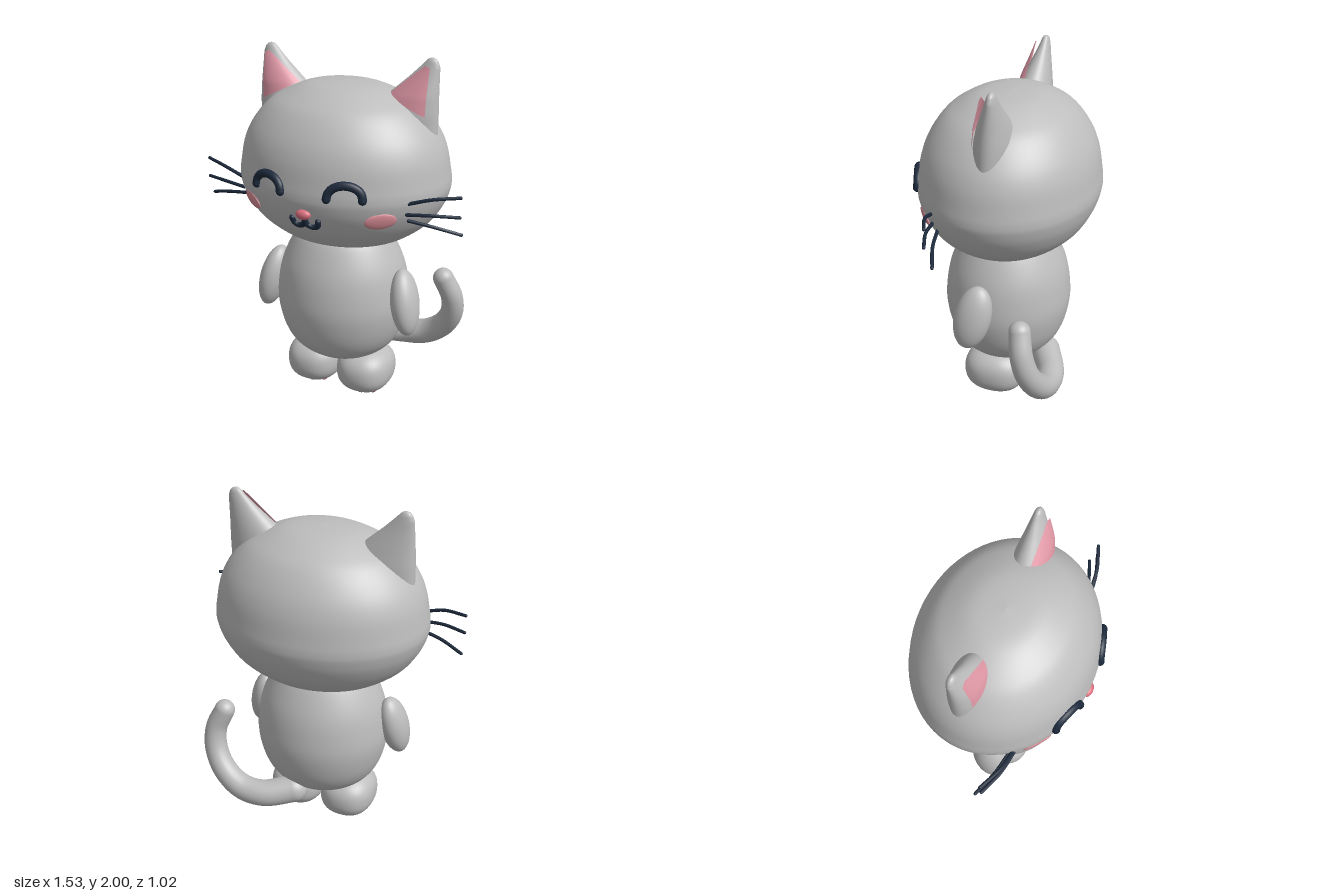
import * as THREE from 'three';
import { mergeVertices } from 'three/addons/utils/BufferGeometryUtils.js';

const material = (name, color, side = THREE.FrontSide) => {
  const m = new THREE.MeshStandardMaterial({ color, side });
  m.name = name;
  return m;
};
const V = (x, y, z) => new THREE.Vector3(x, y, z);
const curve = (pts) => new THREE.CatmullRomCurve3(pts.map((p) => V(...p)));

// Smooth closed outlines: [radius, height]
const outline = (pts, n) => new THREE.SplineCurve(pts.map((p) => new THREE.Vector2(...p))).getPoints(n)
  .map((p) => p.setX(Math.max(p.x, 0)));
const headOutline = outline([[0.28, 0.97], [0.38, 1.01], [0.5, 1.1], [0.57, 1.2], [0.6, 1.28], [0.605, 1.33],
  [0.597, 1.39], [0.575, 1.5], [0.53, 1.6], [0.45, 1.7], [0.36, 1.765], [0.2, 1.83], [0, 1.848]], 60);
const bodyOutline = outline([[0, 0.195], [0.13, 0.215], [0.27, 0.295], [0.345, 0.4], [0.383, 0.55], [0.38, 0.68],
  [0.35, 0.82], [0.28, 0.965], [0.22, 1.03]], 50);
const HEAD_DEPTH = 0.825, HEAD_Z = -0.01;

// Front of the head at a given x and y
function faceZ(x, y) {
  const i = Math.max(1, headOutline.findIndex((p) => p.y >= y));
  const a = headOutline[i - 1], b = headOutline[i];
  const r = THREE.MathUtils.lerp(a.x, b.x, (y - a.y) / (b.y - a.y));
  return HEAD_Z + HEAD_DEPTH * Math.sqrt(Math.max(0, r * r - x * x));
}

// Ear sections from the tip down: [y, centre x, centre z, half width, half depth]
const earRings = [[2.0, 0.477, -0.06, 0, 0], [1.994, 0.477, -0.06, 0.02, 0.013], [1.98, 0.477, -0.06, 0.034, 0.021],
  [1.95, 0.468, -0.058, 0.054, 0.029], [1.9, 0.443, -0.052, 0.08, 0.044], [1.8, 0.388, -0.04, 0.138, 0.077],
  [1.7, 0.335, -0.034, 0.194, 0.102], [1.58, 0.29, -0.03, 0.24, 0.11]];
function earAt(y) {
  const i = Math.max(1, earRings.findIndex((r) => r[0] <= y));
  const a = earRings[i - 1], b = earRings[i], t = (y - a[0]) / (b[0] - a[0]);
  return a.map((v, k) => THREE.MathUtils.lerp(v, b[k], t));
}

function moveVertices(geo, rule) {
  const p = geo.attributes.position, v = V(0, 0, 0);
  for (let i = 0; i < p.count; i++) {
    rule(v.fromBufferAttribute(p, i));
    p.setXYZ(i, v.x, v.y, v.z);
  }
  geo.deleteAttribute('uv');
  geo.deleteAttribute('normal');
  geo = mergeVertices(geo, 1e-5);
  geo.computeVertexNormals();
  return geo;
}

function earGeometry(s) {
  return moveVertices(new THREE.CylinderGeometry(1, 1, 1, 36, 30, true), (v) => {
    const t = 0.5 - v.y, y = 2 - 0.42 * t * t;
    const [, cx, cz, rx, rz] = earAt(y);
    v.set(s * cx + v.x * rx, y, cz + v.z * rz);
  });
}

// Curved triangle lying just in front of the ear
function innerEarGeometry(s) {
  return moveVertices(new THREE.PlaneGeometry(1, 1, 14, 18), (v) => {
    const u = v.x + 0.5, t = v.y + 0.5, L = THREE.MathUtils.lerp;
    const x = L(L(0.483, 0.487, t), L(0.272, 0.46, t), u);
    const y = L(L(1.705, 1.955, t), L(1.81, 1.965, t), u);
    const [, cx, cz, rx, rz] = earAt(y);
    const d = Math.min(1, Math.abs(x - cx) / rx);
    v.set(s * x, y, cz + rz * Math.sqrt(1 - d * d) + 0.009 + 0.022 * t);
  });
}

// Tube that tapers from r0 to r1
function taperedTube(path, r0, r1, n = 48, sides = 20) {
  const geo = new THREE.TubeGeometry(path, n, 1, sides);
  const p = geo.attributes.position, v = V(0, 0, 0);
  for (let i = 0; i < p.count; i++) {
    const t = Math.floor(i / (sides + 1)) / n, c = path.getPointAt(t);
    v.fromBufferAttribute(p, i).sub(c).multiplyScalar(r0 + (r1 - r0) * t).add(c);
    p.setXYZ(i, v.x, v.y, v.z);
  }
  return geo;
}

export function createModel() {
  const fur = material('grey fur', 0xbdbdbd);
  const navy = material('dark navy', 0x1d2a3d);
  const earPink = material('ear pink', 0xe39aa8, THREE.DoubleSide);
  const cheekPink = material('cheek pink', 0xdb8f98);
  const rose = material('rose', 0xd96f7d);
  const model = new THREE.Group();

  const add = (name, geo, mat, pos = [0, 0, 0], parent = model) => {
    const m = new THREE.Mesh(geo, mat);
    m.name = name;
    m.position.set(...pos);
    parent.add(m);
    return m;
  };
  const ball = (name, mat, pos, size, seg = 32) =>
    add(name, new THREE.SphereGeometry(1, seg, Math.ceil(seg * 0.7)).scale(...size), mat, pos);
  // Tube with rounded ends
  const cord = (name, path, r, mat, r1 = r, n = 24, sides = 12) => {
    const g = new THREE.Group();
    g.name = name;
    model.add(g);
    add(name + 'Tube', taperedTube(path, r, r1, n, sides), mat, [0, 0, 0], g);
    [[0, r], [1, r1]].forEach(([t, rad]) =>
      add(name + 'End', new THREE.SphereGeometry(rad, sides, sides), mat, path.getPointAt(t).toArray(), g));
  };

  // Head and body
  add('head', new THREE.LatheGeometry([new THREE.Vector2(0, 0.969), ...headOutline], 64)
    .scale(1, 1, HEAD_DEPTH), fur, [0, 0, HEAD_Z]);
  add('body', new THREE.LatheGeometry(bodyOutline, 56).scale(1, 1, 0.935), fur, [0, 0, 0.005]);

  // Tail sweeping out to the left and up
  cord('tail', curve([[0.08, 0.27, -0.25], [0.24, 0.24, -0.325], [0.38, 0.255, -0.335], [0.5, 0.335, -0.315],
    [0.57, 0.45, -0.28], [0.578, 0.57, -0.25], [0.53, 0.69, -0.225]]), 0.083, 0 || fur, 0.06, 56, 24);

  for (const s of [-1, 1]) {
    const side = s > 0 ? 'left' : 'right';

    // Ears
    add(side + 'Ear', earGeometry(s), fur);
    add(side + 'InnerEar', innerEarGeometry(s), earPink);

    // Arms
    const arm = ball(side + 'Arm', fur, [s * 0.418, 0.647, 0.082], [0.078, 0.19, 0.105]);
    arm.rotation.set(-0.2, 0, s * 0.2);

    // Feet: slightly squared ellipsoids
    const foot = moveVertices(new THREE.SphereGeometry(1, 40, 28), (v) => {
      const k = 2.4;
      v.divideScalar((Math.abs(v.x) ** k + Math.abs(v.y) ** k + Math.abs(v.z) ** k) ** (1 / k));
      v.set(v.x * 0.162, v.y * 0.137, v.z * 0.185);
    });
    add(side + 'Foot', foot, fur, [s * 0.162, 0.152, 0.03]);

    // Paw pads
    ball(side + 'PawPad', rose, [s * 0.162, 0.017, 0.012], [0.052, 0.017, 0.045], 20);
    [[-0.062, 0.025, 0.075], [0, 0.022, 0.1], [0.062, 0.025, 0.075]].forEach(([x, y, z]) =>
      ball(side + 'ToePad', rose, [s * 0.162 + x, y, z], [0.024, 0.016, 0.022], 16));

    // Smiling closed eye
    const eye = [];
    for (let i = 0; i <= 10; i++) {
      const a = (Math.PI * i) / 10;
      const x = s * 0.222 - 0.088 * Math.cos(a), y = 1.345 + 0.075 * Math.sin(a) ** 0.9;
      eye.push([x, y, faceZ(x, y) + 0.004]);
    }
    cord(side + 'Eye', curve(eye), 0.023, navy);

    // Half of the mouth
    const mouth = [[0.076, 1.205], [0.068, 1.177], [0.042, 1.165], [0.012, 1.177], [0, 1.212]]
      .map(([x, y]) => [s * x, y, faceZ(x, y) + 0.003]);
    cord(side + 'Mouth', curve(mouth), 0.016, navy);

    // Cheek lying on the head surface
    const cx = s * 0.38, cy = 1.22, cz = faceZ(0.38, cy);
    const cheek = ball(side + 'Cheek', cheekPink, [cx, cy, cz], [0.085, 0.047, 0.013], 28);
    cheek.lookAt(cx + cx, cy - 0.17, cz + (cz - HEAD_Z) / HEAD_DEPTH ** 2);
    cheek.rotateZ(s * 0.08);

    // Whiskers
    [[[0.49, 1.305, 0.265], [0.62, 1.345, 0.25], [0.755, 1.36, 0.2]],
      [[0.49, 1.247, 0.265], [0.62, 1.258, 0.25], [0.755, 1.255, 0.205]],
      [[0.49, 1.205, 0.24], [0.62, 1.183, 0.215], [0.755, 1.145, 0.165]]].forEach((pts) =>
      cord(side + 'Whisker', curve(pts.map(([x, y, z]) => [s * x, y, z])), 0.01, navy, 0.009, 14, 8));
  }

  // Nose
  ball('nose', rose, [0, 1.24, faceZ(0, 1.24) + 0.006], [0.043, 0.028, 0.025], 24);

  return model;
}
